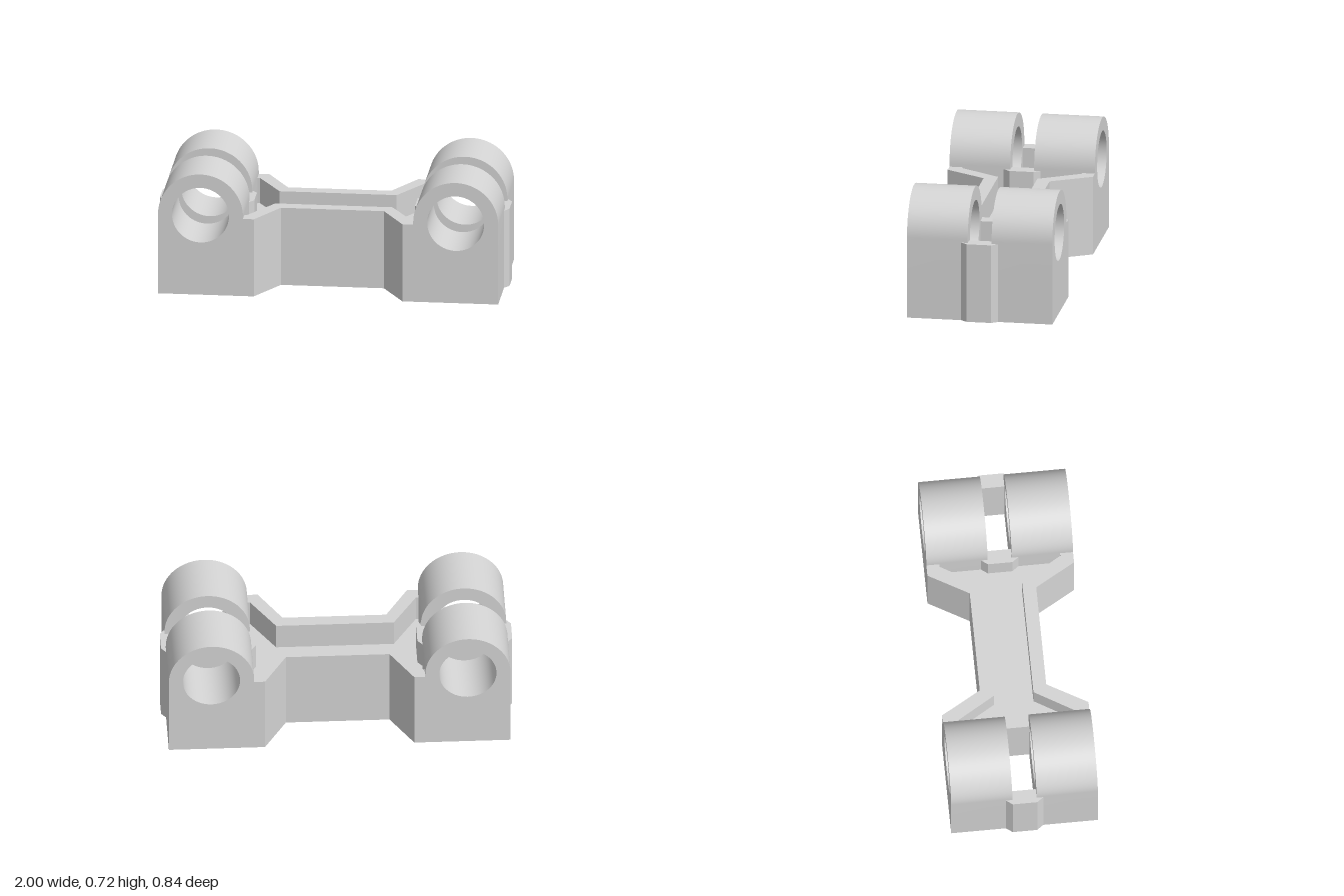
import * as THREE from 'three';
import { toCreasedNormals } from 'three/addons/utils/BufferGeometryUtils.js';

const WALL_H = 0.461;              // height of the frame walls
const FLOOR_Y = 0.15, FLOOR_T = 0.16;
const FOOT_H = 0.23;               // height of the hollow feet
const CX = 0.73, HALF = 0.243;     // bearing centre and half width
const AXIS_Y = 0.475, BORE = 0.163;
const Z0 = 0.069, Z1 = 0.419;      // bearing block depth range

// Closed path from points, mirrored by sx, sz
const mirrored = (pts, sx, sz) => pts.map(([x, z]) => new THREE.Vector2(x * sx, -z * sz));

// Upright prism from a plan outline in x, z
function prism(pts, height, y = 0, hole = null) {
  const shape = new THREE.Shape(pts);
  if (hole) {
    if (THREE.ShapeUtils.isClockWise(hole) === THREE.ShapeUtils.isClockWise(pts)) hole.reverse();
    if (THREE.ShapeUtils.isClockWise(pts)) shape.curves = new THREE.Shape([...pts].reverse()).curves;
    if (!THREE.ShapeUtils.isClockWise(hole)) hole.reverse();
    shape.holes.push(new THREE.Path(hole));
  }
  const geo = new THREE.ExtrudeGeometry(shape, { depth: height, bevelEnabled: false });
  return geo.rotateX(-Math.PI / 2).translate(0, y, 0);
}

const rect = (x0, x1, z0, z1) => [[x0, z0], [x1, z0], [x1, z1], [x0, z1]];

export function createModel() {
  const group = new THREE.Group();
  const grey = new THREE.MeshStandardMaterial({ color: 0xd4d4d4 });
  grey.name = 'lightGrey';
  const add = (name, geo) => {
    const mesh = new THREE.Mesh(geo, grey);
    mesh.name = name;
    group.add(mesh);
  };

  // Rounded bearing profile with a round bore
  const arch = new THREE.Shape();
  arch.moveTo(-HALF, FOOT_H);
  arch.lineTo(HALF, FOOT_H);
  arch.lineTo(HALF, AXIS_Y);
  arch.absarc(0, AXIS_Y, HALF, 0, Math.PI, false);
  arch.closePath();
  const bore = new THREE.Path();
  bore.absarc(0, AXIS_Y, BORE, 0, Math.PI * 2, true);
  arch.holes.push(bore);
  const bearing = toCreasedNormals(
    new THREE.ExtrudeGeometry(arch, { depth: Z1 - Z0, bevelEnabled: false, curveSegments: 28 }), 0.6);

  for (const sx of [1, -1]) {
    for (const sz of [1, -1]) {
      // Bearing on top of a hollow foot that is open below
      add('bearing', bearing.clone().translate(sx * CX, 0, sz > 0 ? Z0 : -Z1));
      add('bearingFoot', prism(
        mirrored(rect(CX - HALF, CX + HALF, Z0, Z1), sx, sz), FOOT_H, 0,
        mirrored(rect(CX - 0.165, CX + 0.165, 0.15, 0.34), sx, sz)));
    }
    // Bulged walls closing both ends of the slot between the bearings
    for (const side of [1, -1]) {
      const plan = [[0.19, -0.07], [0.243, -0.107], [0.27, -0.07],
        [0.27, 0.07], [0.243, 0.107], [0.19, 0.07]].map(([d, z]) => [CX + side * d, z]);
      add('slotEndWall', prism(mirrored(plan, sx, 1), WALL_H));
    }
  }

  // Long side walls, flared at both ends
  const outer = [[0.487, 0.419], [0.425, 0.419], [0.295, 0.19]];
  const inner = [[0.335, 0.113], [0.472, 0.345], [0.487, 0.345]];
  const flip = (pts) => pts.map(([x, z]) => [-x, z]).reverse();
  const wall = [...outer, ...flip(outer), ...flip(inner), ...inner];
  for (const sz of [1, -1]) add('sideWall', prism(mirrored(wall, 1, sz), WALL_H));

  // Web between the walls
  const edge = [...inner].reverse();
  const half = [...edge, ...flip(edge)];
  const floor = [...half, ...half.map(([x, z]) => [-x, -z])];
  add('floor', prism(mirrored(floor, 1, 1), FLOOR_T, FLOOR_Y));

  return group;
}
